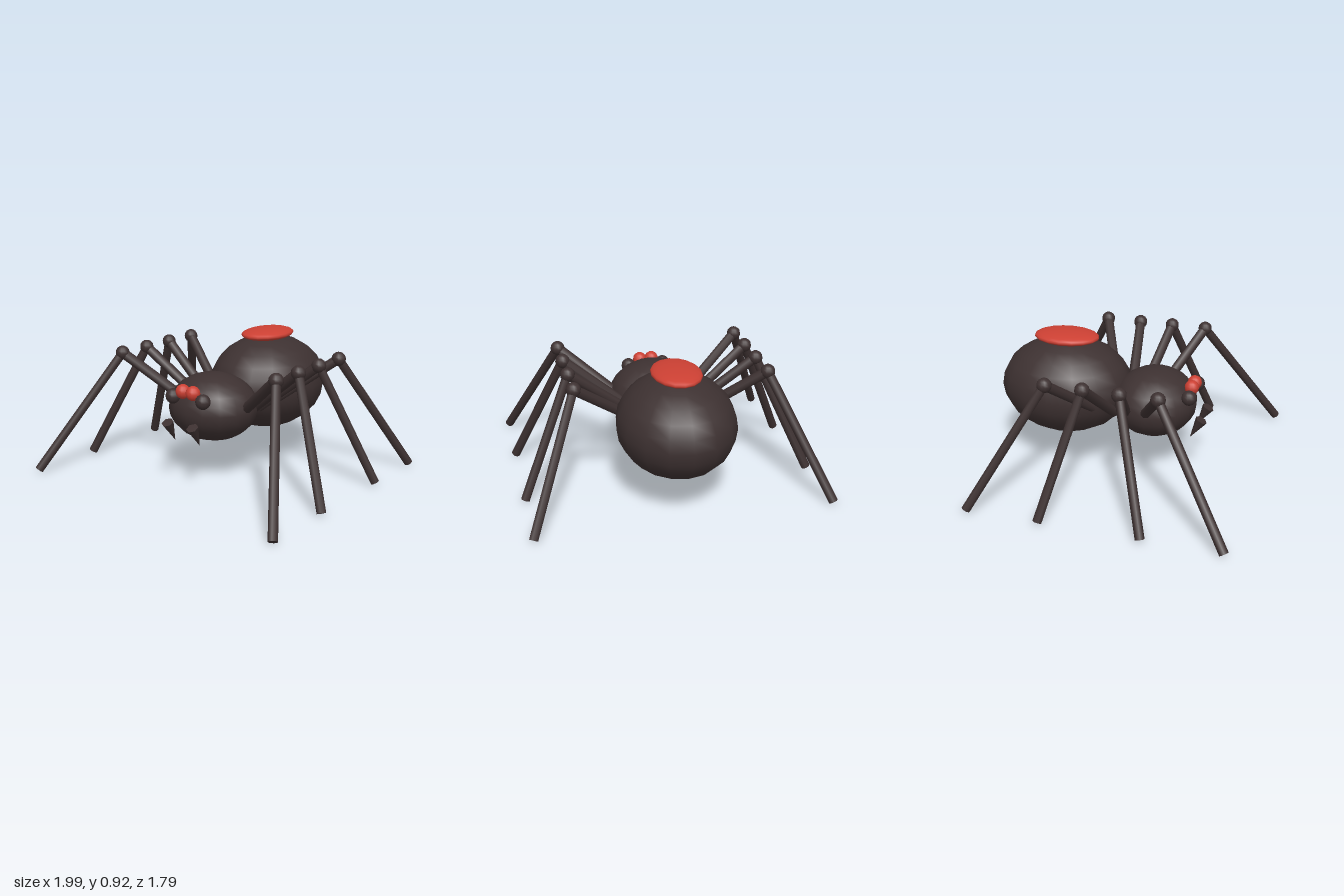
import * as THREE from 'three';

const dark = new THREE.MeshStandardMaterial({ color: 0x3d3131 });
dark.name = 'dark brown';
const red = new THREE.MeshStandardMaterial({ color: 0xcc4033 });
red.name = 'red';

const UP = new THREE.Vector3(0, 1, 0);

// Ellipsoid with the given centre and radii
function ellipsoid(name, material, centre, radii, wide = 16, high = 12) {
  const mesh = new THREE.Mesh(new THREE.SphereGeometry(1, wide, high), material);
  mesh.name = name;
  mesh.position.set(...centre);
  mesh.scale.set(...radii);
  return mesh;
}

// Round bar from one point to another; the second radius is at the far end
function bar(name, from, to, r0, r1, sides) {
  const a = new THREE.Vector3(...from);
  const b = new THREE.Vector3(...to);
  const dir = b.clone().sub(a);
  const mesh = new THREE.Mesh(new THREE.CylinderGeometry(r1, r0, dir.length(), sides), dark);
  mesh.name = name;
  mesh.position.copy(a).add(b).multiplyScalar(0.5);
  mesh.quaternion.setFromUnitVectors(UP, dir.normalize());
  return mesh;
}

export function createModel() {
  const model = new THREE.Group();
  model.name = 'spider';

  // Body with the marking on its back
  model.add(
    ellipsoid('abdomen', dark, [0, 0.535, -0.443], [0.385, 0.327, 0.452], 16, 12),
    ellipsoid('headThorax', dark, [0, 0.483, 0.182], [0.305, 0.227, 0.285], 16, 12),
    ellipsoid('backMarking', red, [0, 0.875, -0.438], [0.16, 0.042, 0.225], 16, 12)
  );

  // Hip, knee and foot depth of each leg pair, front to back
  const legs = [
    [0.16, 0.373, 0.875],
    [0.046, 0.13, 0.363],
    [-0.04, -0.107, -0.298],
    [-0.15, -0.353, -0.782],
  ];

  for (const [side, s] of [['left', 1], ['right', -1]]) {
    // Eyes
    model.add(
      ellipsoid(side + 'InnerEye', red, [s * 0.042, 0.628, 0.442], [0.048, 0.048, 0.048], 12, 8),
      ellipsoid(side + 'OuterEye', dark, [s * 0.124, 0.586, 0.444], [0.05, 0.05, 0.05], 12, 8)
    );

    // Fang
    model.add(bar(side + 'Fang', [s * 0.103, 0.43, 0.527], [s * 0.103, 0.294, 0.453], 0.041, 0, 6));

    // Legs
    legs.forEach(([hipZ, kneeZ, footZ], i) => {
      const leg = new THREE.Group();
      leg.name = side + 'Leg' + (i + 1);
      const hip = [s * 0.21, 0.458, hipZ];
      const knee = [s * 0.632, 0.79, kneeZ];
      const foot = [s * 0.968, 0.018, footZ];
      leg.add(
        bar('upperLeg', hip, knee, 0.034, 0.034, 8),
        ellipsoid('knee', dark, knee, [0.048, 0.048, 0.048], 12, 8),
        bar('lowerLeg', knee, foot, 0.03, 0.03, 8)
      );
      model.add(leg);
    });
  }

  return model;
}
